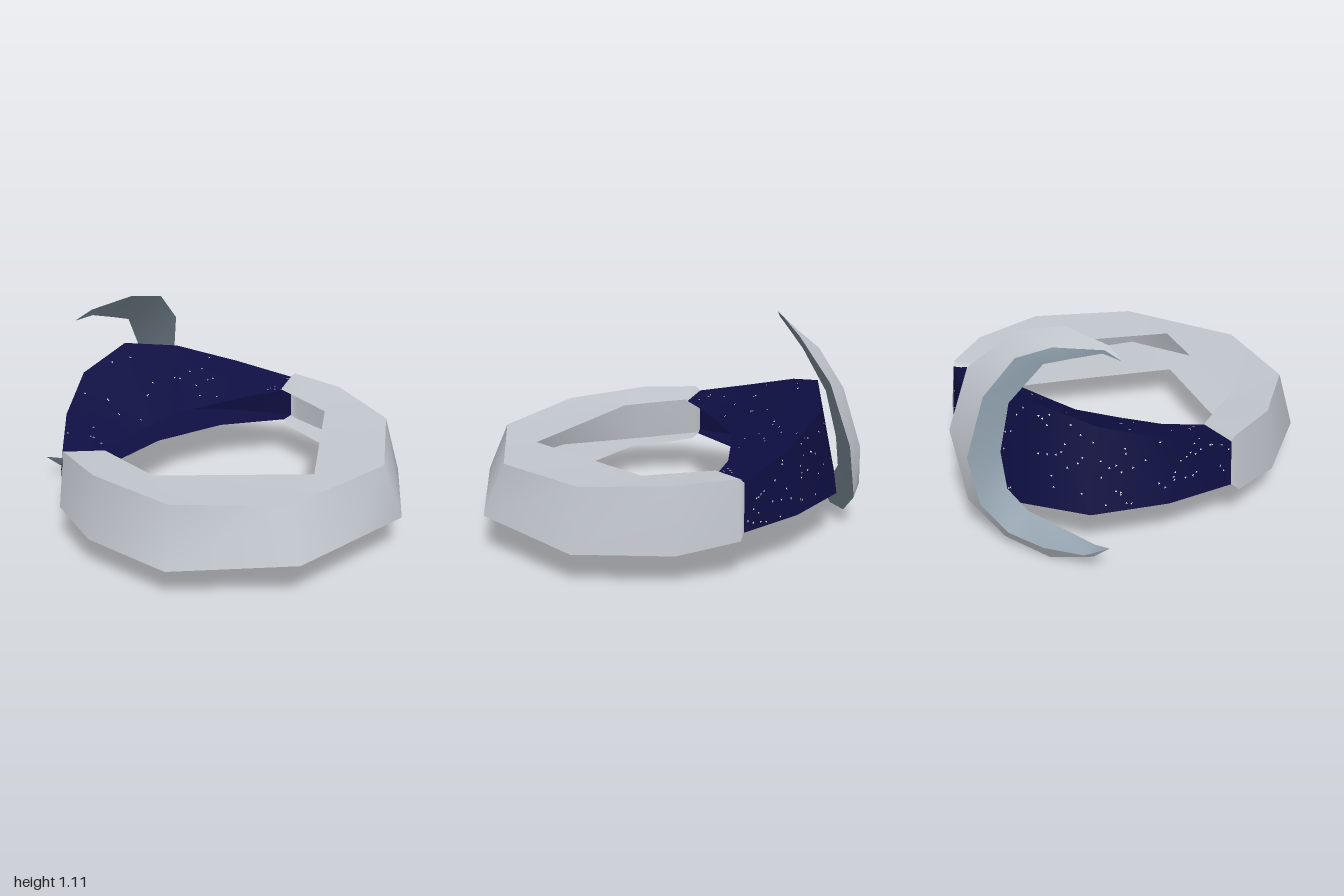
import * as THREE from 'three';

const material = (name, color) => {
  const m = new THREE.MeshStandardMaterial({ color, side: THREE.DoubleSide });
  m.name = name;
  return m;
};

// Surface between two open rows of points with equal counts
function strip(name, a, b, mat) {
  const geo = new THREE.BufferGeometry();
  const index = [];
  for (let i = 0; i < a.length - 1; i++) {
    const j = a.length + i;
    index.push(i, i + 1, j, i + 1, j + 1, j);
  }
  geo.setAttribute('position', new THREE.Float32BufferAttribute([...a, ...b].flat(), 3));
  geo.setIndex(index);
  geo.computeVertexNormals();
  const mesh = new THREE.Mesh(geo, mat);
  mesh.name = name;
  return mesh;
}

// Mirror a half row (starting on the centre plane) into a full row
const mirror = (half) => [
  ...half.slice(1).reverse().map(([x, y, z]) => [-x, y, z]),
  ...half,
];

function seeded(seed) {
  return () => {
    seed = (seed * 16807) % 2147483647;
    return seed / 2147483647;
  };
}

// Tiny triangles scattered on the quads between two rows
function stars(name, a, b, perQuad, lift, rand, mat) {
  const pos = [];
  for (let i = 0; i < a.length - 1; i++) {
    const [p, q, r, s] = [a[i], a[i + 1], b[i], b[i + 1]].map((v) => new THREE.Vector3(...v));
    for (let k = 0; k < perQuad; k++) {
      const u = 0.05 + 0.9 * rand();
      const v = 0.06 + 0.88 * rand();
      // Stay on the same two triangles as the surface
      const c = u + v < 1
        ? p.clone().addScaledVector(q.clone().sub(p), u).addScaledVector(r.clone().sub(p), v)
        : s.clone().addScaledVector(r.clone().sub(s), 1 - u).addScaledVector(q.clone().sub(s), 1 - v);
      const first = u + v < 1;
      const eu = (first ? q.clone().sub(p) : s.clone().sub(r)).normalize();
      const n = eu.clone().cross((first ? r.clone().sub(p) : s.clone().sub(q))).normalize();
      const ev = n.clone().cross(eu);
      if (n.dot(lift(c)) < 0) n.negate();
      c.addScaledVector(n, 0.003);
      const turn = rand() * 6.28;
      for (let t = 0; t < 3; t++) {
        const w = turn + t * 2.09;
        const d = c.clone().addScaledVector(eu, 0.007 * Math.cos(w)).addScaledVector(ev, 0.007 * Math.sin(w));
        pos.push(d.x, d.y, d.z);
      }
    }
  }
  const geo = new THREE.BufferGeometry();
  geo.setAttribute('position', new THREE.Float32BufferAttribute(pos, 3));
  geo.computeVertexNormals();
  const mesh = new THREE.Mesh(geo, mat);
  mesh.name = name;
  return mesh;
}

export function createModel() {
  const model = new THREE.Group();
  model.name = 'moonRing';
  const silver = material('silver', 0xc0c5cc);
  const steel = material('steelBlue', 0x8a9aa7);
  const slate = material('slate', 0x717e89);
  const navy = material('navy', 0x0e0e42);
  const white = material('starWhite', 0xf4f4f4);

  // Hollow silver band, open towards the finger
  const band = new THREE.Group();
  band.name = 'band';
  const bandTop = mirror([[0, 0.47, 0.89], [0.34, 0.47, 0.89], [0.78, 0.49, 0.525],
    [0.885, 0.518, 0.08], [0.84, 0.525, -0.235], [0.83, 0.5, -0.26]]);
  const bandBottom = mirror([[0, 0.205, 1], [0.37, 0.205, 1], [0.85, 0.177, 0.575],
    [0.93, 0.18, 0.08], [0.875, 0.22, -0.24], [0.84, 0.25, -0.26]]);
  const topHole = mirror([[0, 0.47, 0.725], [0.34, 0.475, 0.445], [0.62, 0.48, 0.215],
    [0.63, 0.49, 0.05], [0.64, 0.5, -0.15], [0.64, 0.49, -0.16]]);
  const bottomHole = mirror([[0, 0.205, 0.78], [0.36, 0.2, 0.48], [0.77, 0.18, 0.16],
    [0.77, 0.19, 0], [0.76, 0.22, -0.2], [0.76, 0.25, -0.24]]);
  band.add(
    strip('bandWall', bandTop, bandBottom, silver),
    strip('bandTopPlate', bandTop, topHole, silver),
    strip('bandBottomPlate', bandBottom, bottomHole, silver),
  );
  model.add(band);

  // Night-sky crest, rising towards the back
  const crest = new THREE.Group();
  crest.name = 'crest';
  const crestTop = mirror([[0, 0.77, -0.79], [0.34, 0.69, -0.73], [0.62, 0.585, -0.51], [0.83, 0.5, -0.26]]);
  const crestBottom = mirror([[0, 0.25, -0.9], [0.35, 0.25, -0.83], [0.64, 0.25, -0.56], [0.84, 0.25, -0.26]]);
  const crestTopHole = mirror([[0, 0.48, -0.325], [0.22, 0.48, -0.285], [0.44, 0.48, -0.24], [0.64, 0.49, -0.16]]);
  const crestBottomHole = mirror([[0, 0.25, -0.5], [0.21, 0.25, -0.465], [0.42, 0.25, -0.43], [0.76, 0.25, -0.24]]);
  crest.add(
    strip('crestWall', crestTop, crestBottom, navy),
    strip('crestTopPlate', crestTop, crestTopHole, navy),
    strip('crestBottomPlate', crestBottom, crestBottomHole, navy),
  );
  const rand = seeded(77);
  crest.add(
    stars('wallStars', crestTop, crestBottom, 18, (c) => new THREE.Vector3(c.x, 0, c.z), rand, white),
    stars('topStars', crestTop, crestTopHole, 5, () => new THREE.Vector3(0, 1, 0), rand, white),
  );
  model.add(crest);

  // Crescent moon with a ridge along its back
  const moon = new THREE.Group();
  moon.name = 'crescentMoon';
  const outer = [[-0.43, 1.03, -0.66], [-0.34, 1.08, -0.63], [-0.09, 1.11, -0.605], [0.16, 1.05, -0.65],
    [0.37, 0.85, -0.77], [0.43, 0.53, -0.87], [0.29, 0.2, -0.94], [0.08, 0.05, -0.94],
    [-0.17, 0, -0.925], [-0.41, 0.08, -0.915], [-0.5, 0.16, -0.915]];
  const ridge = [[-0.43, 1.03, -0.66], [-0.33, 1.06, -0.65], [-0.07, 1.03, -0.69], [0.09, 0.97, -0.77],
    [0.21, 0.78, -0.88], [0.26, 0.47, -0.97], [0.18, 0.24, -0.995], [0.02, 0.13, -1],
    [-0.17, 0.09, -0.98], [-0.38, 0.1, -0.95], [-0.5, 0.16, -0.915]];
  const inner = [[-0.43, 1.03, -0.66], [-0.32, 1.04, -0.65], [-0.17, 0.99, -0.68], [-0.03, 0.94, -0.71],
    [0.11, 0.74, -0.81], [0.13, 0.49, -0.87], [0.08, 0.31, -0.9], [-0.04, 0.22, -0.905],
    [-0.17, 0.19, -0.9], [-0.4, 0.13, -0.885], [-0.5, 0.16, -0.915]];
  moon.add(
    strip('moonOuterSlope', outer, ridge, silver),
    strip('moonInnerSlope', ridge, inner, steel),
    strip('moonFront', inner, outer, slate),
  );
  model.add(moon);
  return model;
}
